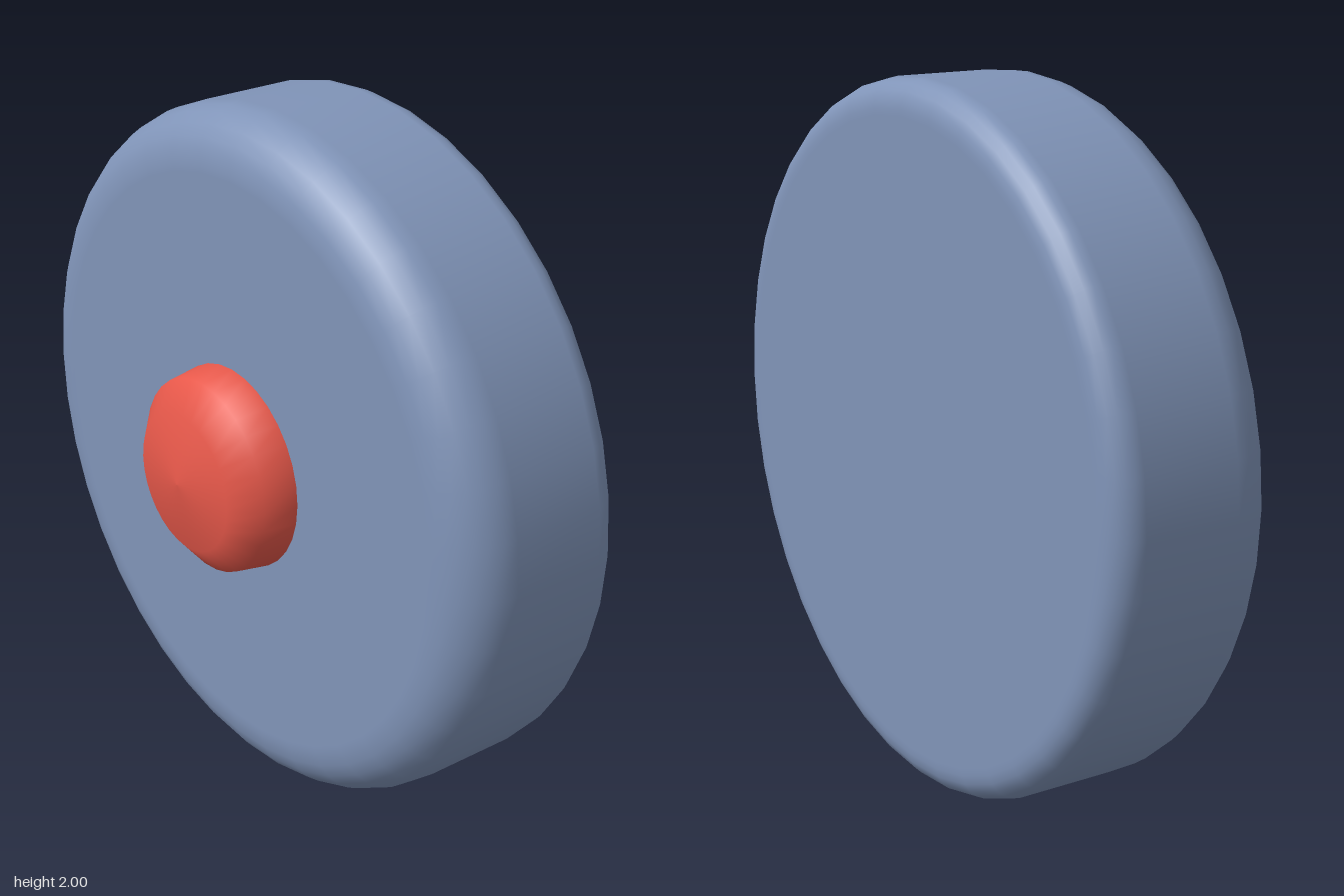
import * as THREE from 'three';

// Quarter-round corner points in (radius, depth), swept from angle a0 to a1
function corner(cx, cy, r, a0, a1, steps) {
  const pts = [];
  for (let i = 0; i <= steps; i++) {
    const a = a0 + (a1 - a0) * i / steps;
    pts.push(new THREE.Vector2(cx + r * Math.cos(a), cy + r * Math.sin(a)));
  }
  return pts;
}

// Lathe a profile and lay its axis along +z, centred at y = 1
function turned(name, points, segments, material) {
  const geometry = new THREE.LatheGeometry(points, segments);
  geometry.rotateX(Math.PI / 2);
  const mesh = new THREE.Mesh(geometry, material);
  mesh.name = name;
  mesh.position.y = 1;
  return mesh;
}

export function createModel() {
  const group = new THREE.Group();
  group.name = 'buttonDisc';
  const slate = new THREE.MeshStandardMaterial({ color: 0x8094b8 });
  slate.name = 'slate blue';
  const red = new THREE.MeshStandardMaterial({ color: 0xe7584a });
  red.name = 'red';

  // Thick disc: tight rounding at the back, wider rounding at the front
  const v = (x, y) => new THREE.Vector2(x, y);
  group.add(turned('disc', [
    v(0, -0.35), v(0.9, -0.35),
    ...corner(0.92, -0.27, 0.08, -Math.PI / 2, 0, 5),
    ...corner(0.85, 0.01, 0.15, 0, Math.PI / 2, 6),
    v(0.83, 0.16), v(0, 0.16),
  ], 40, slate));

  // Domed centre button
  group.add(turned('centreButton', [
    v(0.295, 0.1), v(0.295, 0.16), v(0.28, 0.26), v(0.2, 0.327), v(0, 0.35),
  ], 32, red));

  return group;
}
